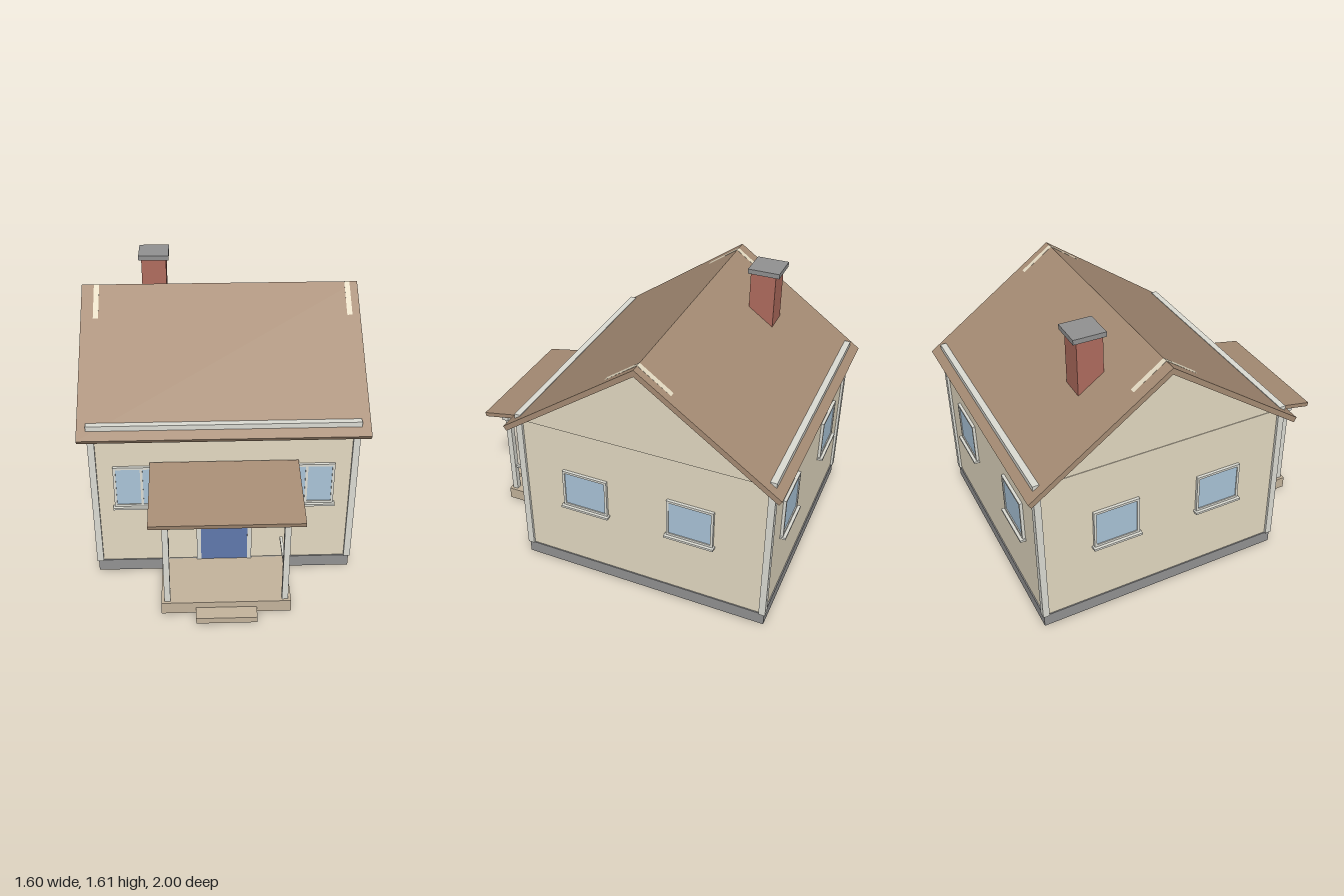
import * as THREE from 'three';

const paint = (color) => new THREE.MeshStandardMaterial({ color });
const M = {
  wall: paint(0xe4dac2), roof: paint(0xa68c74), trim: paint(0xdcdcd4), glass: paint(0xaac4d8),
  base: paint(0x929292), stone: paint(0xc4b49c), door: paint(0x6078ac), brick: paint(0xb06c5e),
  metal: paint(0xb0b0b0),
};
const CZ = -0.2; // centre of the house along z

function add(parent, name, geometry, material, x = 0, y = 0, z = 0) {
  const mesh = new THREE.Mesh(geometry, material);
  mesh.name = name;
  mesh.position.set(x, y, z);
  parent.add(mesh);
  return mesh;
}

// Box given by its centre and size
const box = (parent, name, mat, [x, y, z], [w, h, d]) =>
  add(parent, name, new THREE.BoxGeometry(w, h, d), mat, x, y, z);

// Profile of [z, y] points extruded along x, centred on x
function profileAlongX(parent, name, mat, points, length, x, z) {
  const shape = new THREE.Shape(points.map(([a, b]) => new THREE.Vector2(a, b)));
  const geo = new THREE.ExtrudeGeometry(shape, { depth: length, bevelEnabled: false });
  geo.translate(0, 0, -length / 2).rotateY(-Math.PI / 2);
  return add(parent, name, geo, mat, x, 0, z);
}

// Window facing +z with its back on z = 0
function makeWindow(name, w, h, double) {
  const g = new THREE.Group();
  g.name = name;
  const t = 0.014;
  for (const s of [-1, 1]) {
    box(g, 'windowFrameSide', M.trim, [s * (w - t) / 2, 0, 0.006], [t, h, 0.022]);
    box(g, 'windowFrameRail', M.trim, [0, s * (h - t) / 2, 0.006], [w - 2 * t, t, 0.022]);
  }
  box(g, 'windowGlass', M.glass, [0, 0, 0.004], [w - 2 * t, h - 2 * t, 0.014]);
  if (double) box(g, 'windowMullion', M.trim, [0, 0, 0.006], [t, h - 2 * t, 0.02]);
  box(g, 'windowSill', M.trim, [0, -h / 2 - 0.006, 0.016], [w + 0.018, 0.013, 0.036]);
  return g;
}

function placeWindow(parent, win, x, y, z, turn) {
  win.position.set(x, y, z);
  win.rotation.y = turn;
  parent.add(win);
}

export function createModel() {
  const house = new THREE.Group();
  house.name = 'house';

  // Foundation and walls
  box(house, 'foundation', M.base, [0, 0.0375, CZ], [1.48, 0.075, 1.48]);
  box(house, 'walls', M.wall, [0, 0.5325, CZ], [1.466, 0.915, 1.466]);

  // Gable panels, their tops just showing on the roof
  const gable = [[-0.735, 0.99], [0.735, 0.99], [0, 1.517]];
  for (const x of [-0.715, 0.74]) profileAlongX(house, 'gable', M.wall, gable, 0.03, x, CZ);

  // Main roof
  profileAlongX(house, 'roof', M.roof, [
    [0, 1.515], [-0.796, 0.953], [-0.779, 0.927], [0, 1.477], [0.779, 0.927], [0.796, 0.953],
  ], 1.6, 0, CZ);

  // Corner boards and eave boards
  for (const sz of [-1, 1]) {
    for (const sx of [-1, 1])
      box(house, 'cornerBoard', M.trim, [sx * 0.729, 0.5325, CZ + sz * 0.729], [0.038, 0.915, 0.038]);
    box(house, 'eaveBoard', M.trim, [0, 0.998, CZ + sz * 0.731], [1.5, 0.036, 0.036]);
  }

  // Chimney
  box(house, 'chimney', M.brick, [-0.39, 1.38, -0.49], [0.148, 0.4, 0.148]);
  box(house, 'chimneyCap', M.base, [-0.39, 1.591, -0.495], [0.18, 0.028, 0.185]);

  // Windows
  const wallOff = 0.733;
  for (const s of [-1, 1]) {
    placeWindow(house, makeWindow('frontWindow', 0.315, 0.266, true), s * 0.4625, 0.61, CZ + wallOff, 0);
    placeWindow(house, makeWindow('backWindow', 0.275, 0.25, false), s * 0.38, 0.595, CZ - wallOff, Math.PI);
    for (const z of [0.14, -0.49])
      placeWindow(house, makeWindow('sideWindow', 0.272, 0.24, false), s * wallOff, 0.585, z, s * Math.PI / 2);
  }

  // Door
  for (const s of [-1, 1])
    box(house, 'doorJamb', M.trim, [s * 0.1475, 0.336, 0.537], [0.025, 0.522, 0.024]);
  box(house, 'doorLintel', M.trim, [0, 0.6125, 0.537], [0.32, 0.031, 0.024]);
  box(house, 'door', M.door, [0, 0.336, 0.535], [0.27, 0.522, 0.022]);
  add(house, 'doorKnob', new THREE.SphereGeometry(0.01, 16, 12), M.metal, 0.09, 0.317, 0.55);

  // Porch
  const porch = new THREE.Group();
  porch.name = 'porch';
  house.add(porch);
  box(porch, 'porchFloor', M.stone, [0, 0.0375, 0.7275], [0.726, 0.075, 0.375]);
  box(porch, 'porchStep', M.stone, [0, 0.0185, 0.955], [0.34, 0.037, 0.09]);
  for (const s of [-1, 1]) {
    box(porch, 'porchPost', M.trim, [s * 0.329, 0.36, 0.883], [0.034, 0.57, 0.034]);
    box(porch, 'porchRail', M.trim, [s * 0.329, 0.2515, 0.73], [0.016, 0.016, 0.3]);
  }
  box(porch, 'porchBeam', M.trim, [0, 0.655, 0.883], [0.75, 0.045, 0.042]);
  const canopy = box(porch, 'porchRoof', M.roof, [0, 0.715, 0.765], [0.826, 0.026, 0.462]);
  canopy.rotation.x = 0.188;

  return house;
}
